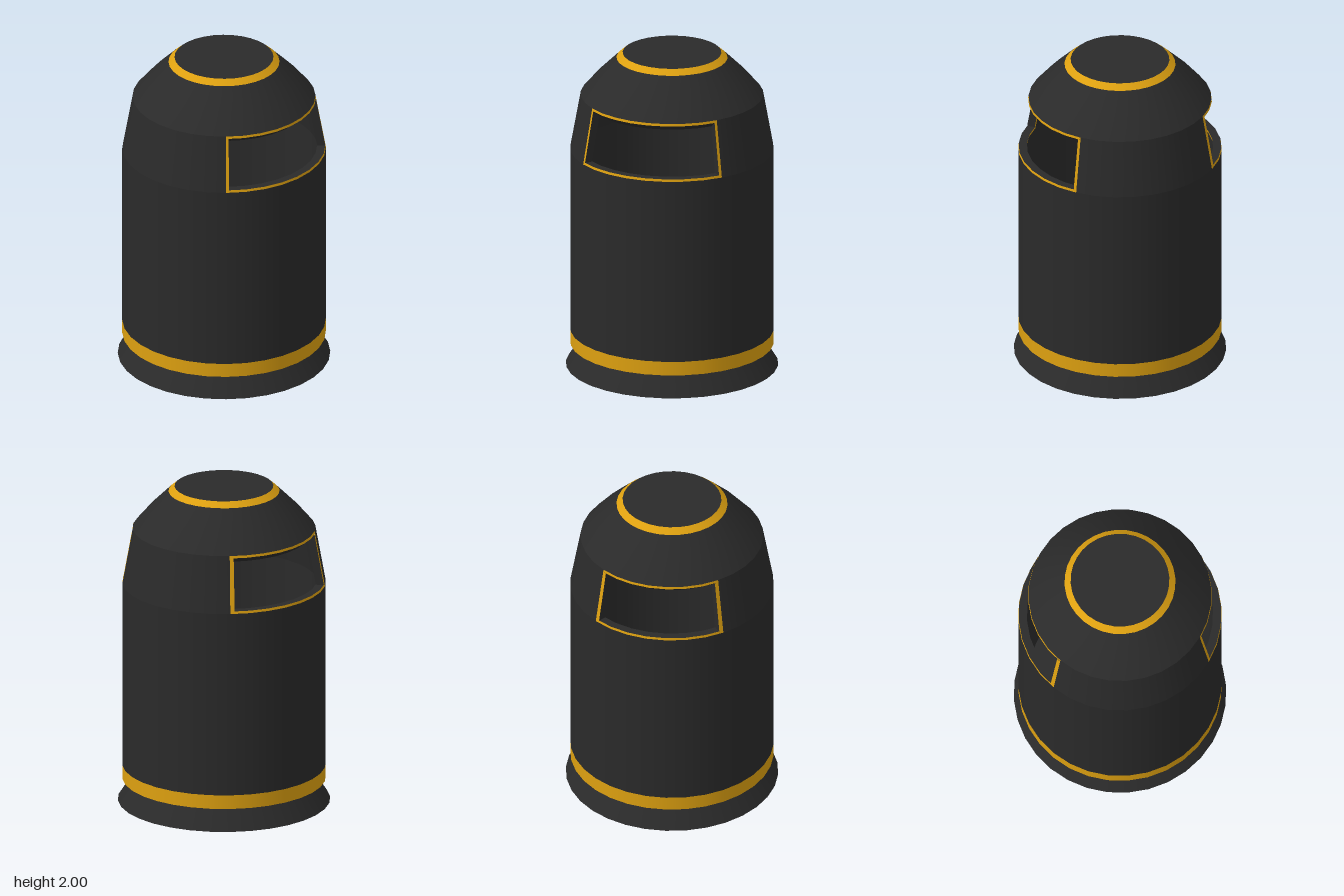
import * as THREE from 'three';

const SIDES = 32, STEP = (Math.PI * 2) / SIDES;
const dark = new THREE.MeshStandardMaterial({ color: 0x2a2a2a });
const darkInside = new THREE.MeshStandardMaterial({ color: 0x2a2a2a, side: THREE.DoubleSide });
const yellow = new THREE.MeshStandardMaterial({ color: 0xdda010, side: THREE.DoubleSide });

// Wall radius of the tapering zone that holds the openings
const Y0 = 1.385, Y1 = 1.735, WALL = 0.05;
const wallR = (y) => 0.618 - (0.063 * (y - Y0)) / (Y1 - Y0);
const innerR = (y) => wallR(y) - WALL;

// Openings, as start and end side numbers around the body (+x, then -x)
const OPENINGS = [
  { name: 'leftOpening', from: 4, to: 12, trim: 0.15 },
  { name: 'rightOpening', from: 20, to: 27, trim: 0.22 },
];
// Solid wall sectors between the openings
const SECTORS = [[12, 20], [27, 36]];

// Surface of revolution between two side numbers; upward profiles face out
function ring(parent, name, points, material, from = 0, to = SIDES) {
  const geometry = new THREE.LatheGeometry(
    points.map(([r, y]) => new THREE.Vector2(r, y)),
    Math.max(1, Math.round(to - from)), from * STEP, (to - from) * STEP
  );
  const mesh = new THREE.Mesh(geometry, material);
  mesh.name = name;
  parent.add(mesh);
}

// Flat panel lying in the radial plane at a side number
function radialPanel(parent, name, corners, material, at) {
  const shape = new THREE.Shape(corners.map(([r, y]) => new THREE.Vector2(r, y)));
  const mesh = new THREE.Mesh(new THREE.ShapeGeometry(shape), material);
  mesh.rotation.y = at * STEP - Math.PI / 2;
  mesh.name = name;
  parent.add(mesh);
}

// Thin yellow border around an opening, following the wall
function trimFrame(parent, name, radius, bottom, top, o) {
  const t = 0.015;
  const strip = (a, b) => [[radius(a), a], [radius(b), b]];
  ring(parent, name + 'Sill', strip(bottom, bottom + t), yellow, o.from, o.to);
  ring(parent, name + 'Lintel', strip(top - t, top), yellow, o.from, o.to);
  ring(parent, name + 'Jamb', strip(bottom + t, top - t), yellow, o.from, o.from + o.trim);
  ring(parent, name + 'Jamb', strip(bottom + t, top - t), yellow, o.to - o.trim, o.to);
}

export function createModel() {
  const bin = new THREE.Group();
  bin.name = 'litterBin';

  // Flared foot
  ring(bin, 'footBottom', [[0, 0], [0.645, 0]], dark);
  ring(bin, 'foot', [[0.645, 0], [0.555, 0.138]], dark);

  // Yellow band at the bottom of the body
  ring(bin, 'bandUnderside', [[0.54, 0.138], [0.618, 0.138]], dark);
  ring(bin, 'bottomBand', [[0.618, 0.138], [0.618, 0.225]], yellow);

  // Outer body, wall between the openings, and dome
  ring(bin, 'body', [[0.618, 0.225], [0.618, Y0]], dark);
  for (const [from, to] of SECTORS) {
    ring(bin, 'upperWall', [[wallR(Y0), Y0], [wallR(Y1), Y1]], dark, from, to);
    ring(bin, 'upperWallInside', [[innerR(1.70), 1.70], [innerR(Y0), Y0]], darkInside, from, to);
  }
  ring(bin, 'dome', [[0.555, Y1], [0.455, 1.852], [0.337, 1.968]], dark);
  ring(bin, 'topBand', [[0.337, 1.968], [0.3, 2]], yellow);
  ring(bin, 'topCap', [[0.3, 2], [0, 2]], dark);

  // Hollow interior
  ring(bin, 'liner', [[innerR(Y0), Y0], [innerR(Y0), 0.2]], darkInside);
  ring(bin, 'linerFloor', [[innerR(Y0), 0.2], [0, 0.2]], dark);
  ring(bin, 'domeInside', [[0, 1.94], [0.29, 1.93], [0.41, 1.83], [innerR(1.70), 1.70]], darkInside);

  // Openings with yellow trim outside and inside, and dark reveals between
  for (const o of OPENINGS) {
    const opening = new THREE.Group();
    opening.name = o.name;
    bin.add(opening);
    trimFrame(opening, 'outerTrim', wallR, Y0, Y1, o);
    trimFrame(opening, 'innerTrim', innerR, Y0, 1.70, o);

    const low = 1.40, highOut = 1.72, highIn = 1.685;
    ring(opening, 'sillReveal', [[wallR(low), low], [innerR(low), low]], darkInside, o.from, o.to);
    ring(opening, 'lintelReveal', [[innerR(highIn), highIn], [wallR(highOut), highOut]], darkInside, o.from, o.to);
    for (const at of [o.from + o.trim, o.to - o.trim]) {
      radialPanel(opening, 'sideReveal', [
        [innerR(low), low], [wallR(low), low], [wallR(highOut), highOut], [innerR(highIn), highIn],
      ], darkInside, at);
    }
  }
  return bin;
}
